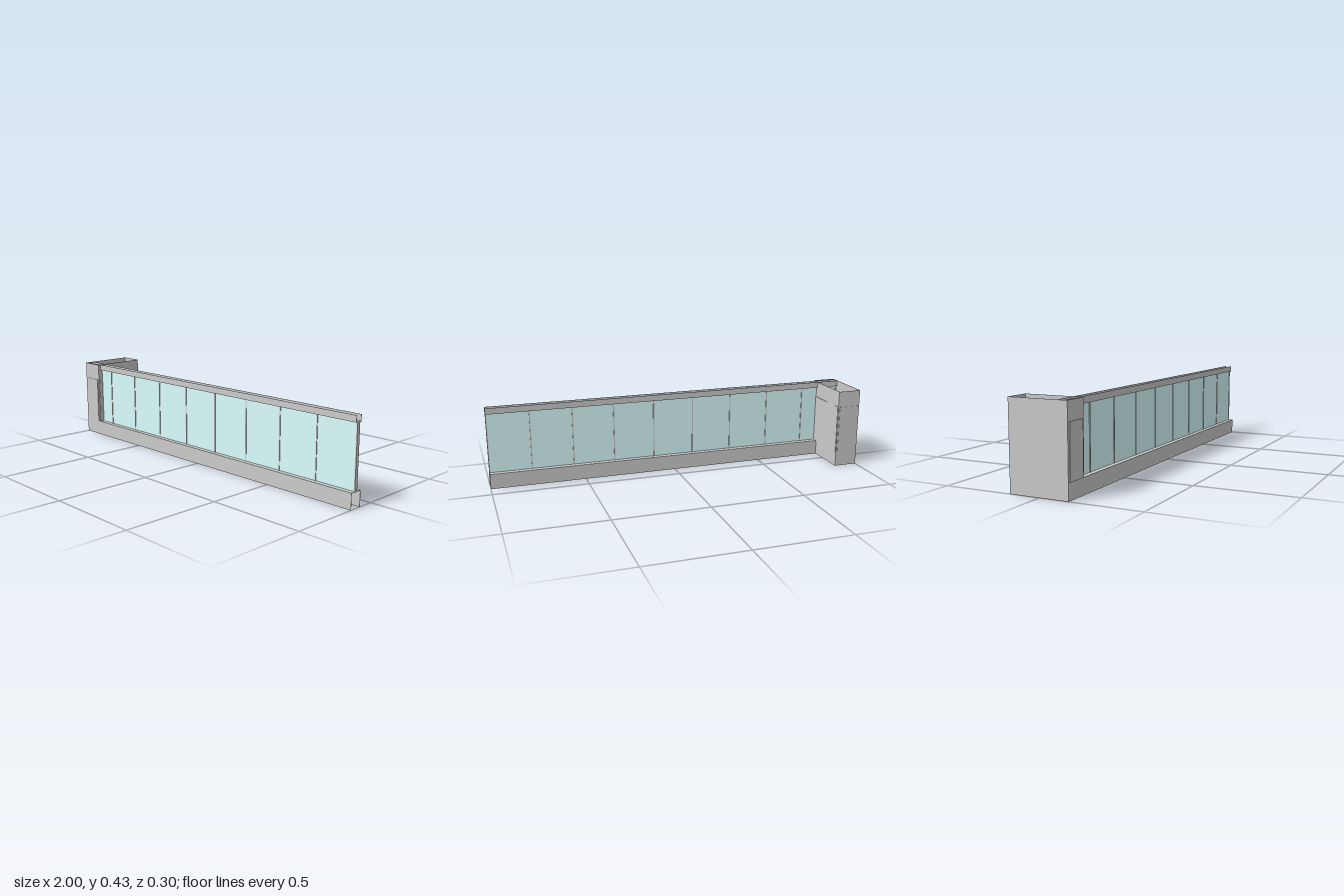
import * as THREE from 'three';

const grey = new THREE.MeshStandardMaterial({ color: 0xcccccc, flatShading: true });
const glass = new THREE.MeshStandardMaterial({ color: 0xdafefe, flatShading: true });

// Box given by its lower and upper corners
function box(parent, name, [x0, y0, z0], [x1, y1, z1], material = grey) {
  const mesh = new THREE.Mesh(new THREE.BoxGeometry(x1 - x0, y1 - y0, z1 - z0), material);
  mesh.position.set((x0 + x1) / 2, (y0 + y1) / 2, (z0 + z1) / 2);
  mesh.name = name;
  parent.add(mesh);
  return mesh;
}

function group(parent, name) {
  const g = new THREE.Group();
  g.name = name;
  parent.add(g);
  return g;
}

export function createModel() {
  const model = new THREE.Group();
  model.name = 'glassBarrier';
  const T = 0.002; // sheet thickness
  const H = 0.427, FRONT = 0.148, BACK = -0.15;

  // Hollow skirt, open below and at the ends
  const skirt = group(model, 'baseSkirt');
  box(skirt, 'skirtFront', [-1, 0, FRONT - T], [1, 0.08, FRONT]);
  box(skirt, 'skirtBack', [-1, 0, 0.081], [1, 0.08, 0.081 + T]);
  box(skirt, 'skirtTop', [-1, 0.08 - T, 0.081], [1, 0.08, FRONT]);

  // Top rail, a channel open upwards
  const rail = group(model, 'topRail');
  box(rail, 'railFront', [-1, 0.395, 0.134 - T], [1, H, 0.134]);
  box(rail, 'railBack', [-1, 0.395, 0.098], [1, H, 0.098 + T]);
  box(rail, 'railFloor', [-1, 0.395, 0.098], [1, 0.395 + T, 0.134]);

  // Nine glass panes between slim posts
  const screen = group(model, 'glassScreen');
  const panes = 9, step = 2 / panes, post = 0.006;
  for (let i = 0; i <= panes; i++) {
    const x = -1 + i * step;
    const left = i === 0 ? x : i === panes ? x - post : x - post / 2;
    box(screen, 'post', [left, 0.08, 0.107], [left + post, 0.395, 0.125]);
    if (i < panes) {
      box(screen, 'glassPane', [x + post / 2, 0.08, 0.110], [x + step - post / 2, 0.395, 0.122], glass);
    }
  }

  // End cabinet, a square tube open above and below
  const cabinet = group(model, 'endCabinet');
  const L = -1, R = -0.872;
  box(cabinet, 'frontWall', [L, 0, FRONT - T], [R, H, FRONT]);
  box(cabinet, 'backWall', [L, 0, BACK], [R, H, BACK + T]);
  box(cabinet, 'outerWall', [L, 0, BACK], [L + T, H, FRONT]);
  box(cabinet, 'innerWall', [R - T, 0, BACK], [R, H, FRONT]);

  // Slightly raised panels on the cabinet
  box(cabinet, 'frontPanel', [-0.988, 0.08, FRONT], [-0.882, 0.337, FRONT + 0.004]);
  box(cabinet, 'backPanel', [-0.99, 0.07, BACK - T], [-0.88, 0.34, BACK]);
  box(cabinet, 'innerPanel', [R, 0.07, BACK + 0.005], [R + T, 0.34, FRONT - 0.005]);

  return model;
}
